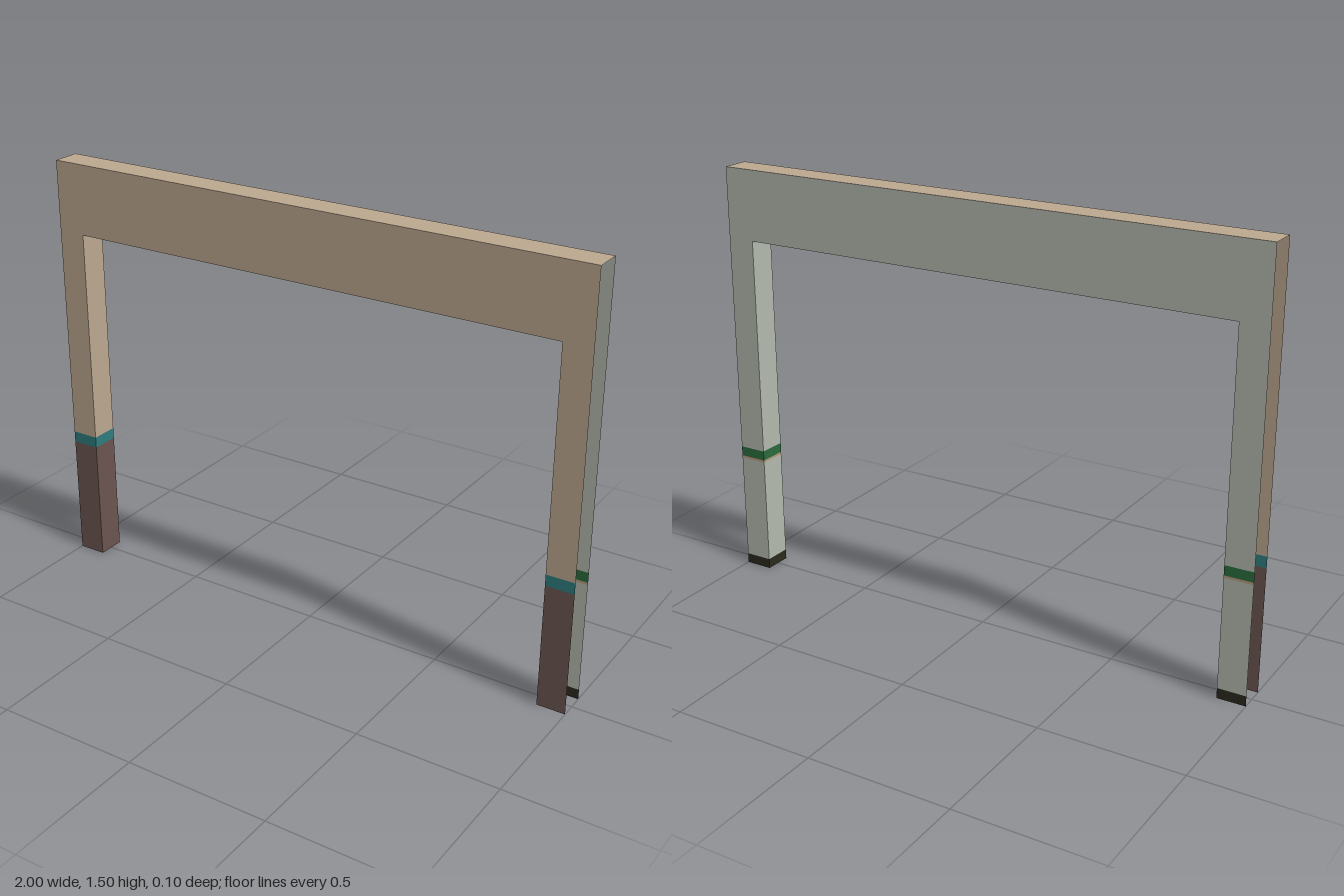
import * as THREE from 'three';

const W = 1, H = 1.5, D = 0.05;        // half width, height, half depth
const IN = 0.9, SOFFIT = 1.25;         // half width and height of the opening

function mat(name, color) {
  const m = new THREE.MeshStandardMaterial({ color, side: THREE.DoubleSide });
  m.name = name;
  return m;
}

export function createModel() {
  const beige = mat('beige plaster', 0xbca890);
  const teal = mat('teal stripe', 0x307c7f);
  const brown = mat('brown dado', 0x6b5550);
  const grey = mat('grey green plaster', 0xb2b9ad);
  const green = mat('green stripe', 0x2b6c3e);
  const tan = mat('tan line', 0xb59a7c);
  const black = mat('black skirting', 0x2b2a1e);

  // Painted bands from the floor up: [bottom, top, material]
  const warm = [[0, 0.44, brown], [0.44, 0.48, teal]];
  const cool = [[0, 0.036, black], [0.036, 0.425, grey], [0.425, 0.433, tan], [0.433, 0.468, green]];

  const model = new THREE.Group();
  model.name = 'doorFrame';

  const add = (parent, name, geometry, material) => {
    const mesh = new THREE.Mesh(geometry, material);
    mesh.name = name;
    parent.add(mesh);
    return mesh;
  };

  // Flat strip of one band, centred on x = 0
  const strip = (width, y0, y1) =>
    new THREE.PlaneGeometry(width, y1 - y0).translate(0, (y0 + y1) / 2, 0);

  // Portal shaped wall: plain upper part with bands on both legs
  function wall(name, bands, upper) {
    const g = new THREE.Group();
    g.name = name;
    const base = bands[bands.length - 1][1];
    const shape = new THREE.Shape([
      [-W, base], [-IN, base], [-IN, SOFFIT], [IN, SOFFIT],
      [IN, base], [W, base], [W, H], [-W, H],
    ].map(([x, y]) => new THREE.Vector2(x, y)));
    add(g, name + 'Upper', new THREE.ShapeGeometry(shape), upper);
    for (const side of [-1, 1])
      for (const [y0, y1, m] of bands)
        add(g, name + 'LegBand', strip(W - IN, y0, y1), m).position.x = side * (W + IN) / 2;
    model.add(g);
    return g;
  }

  wall('frontWall', warm, beige).position.z = D;
  const back = wall('backWall', cool, grey);
  back.position.z = -D;
  back.rotation.y = Math.PI;

  // Inner faces of the opening; the outer ends stay open
  function reveal(name, side, bands, upper) {
    const g = new THREE.Group();
    g.name = name;
    const base = bands[bands.length - 1][1];
    for (const [y0, y1, m] of [...bands, [base, SOFFIT, upper]])
      add(g, name + 'Band', strip(2 * D, y0, y1), m);
    g.position.x = side * IN;
    g.rotation.y = -side * Math.PI / 2;
    model.add(g);
  }
  reveal('rightReveal', -1, warm, beige);
  reveal('leftReveal', 1, cool, grey);

  // Top and underside of the lintel
  add(model, 'lintelTop', new THREE.PlaneGeometry(2 * W, 2 * D).rotateX(-Math.PI / 2), beige).position.y = H;
  add(model, 'lintelSoffit', new THREE.PlaneGeometry(2 * IN, 2 * D).rotateX(Math.PI / 2), beige).position.y = SOFFIT;

  return model;
}
